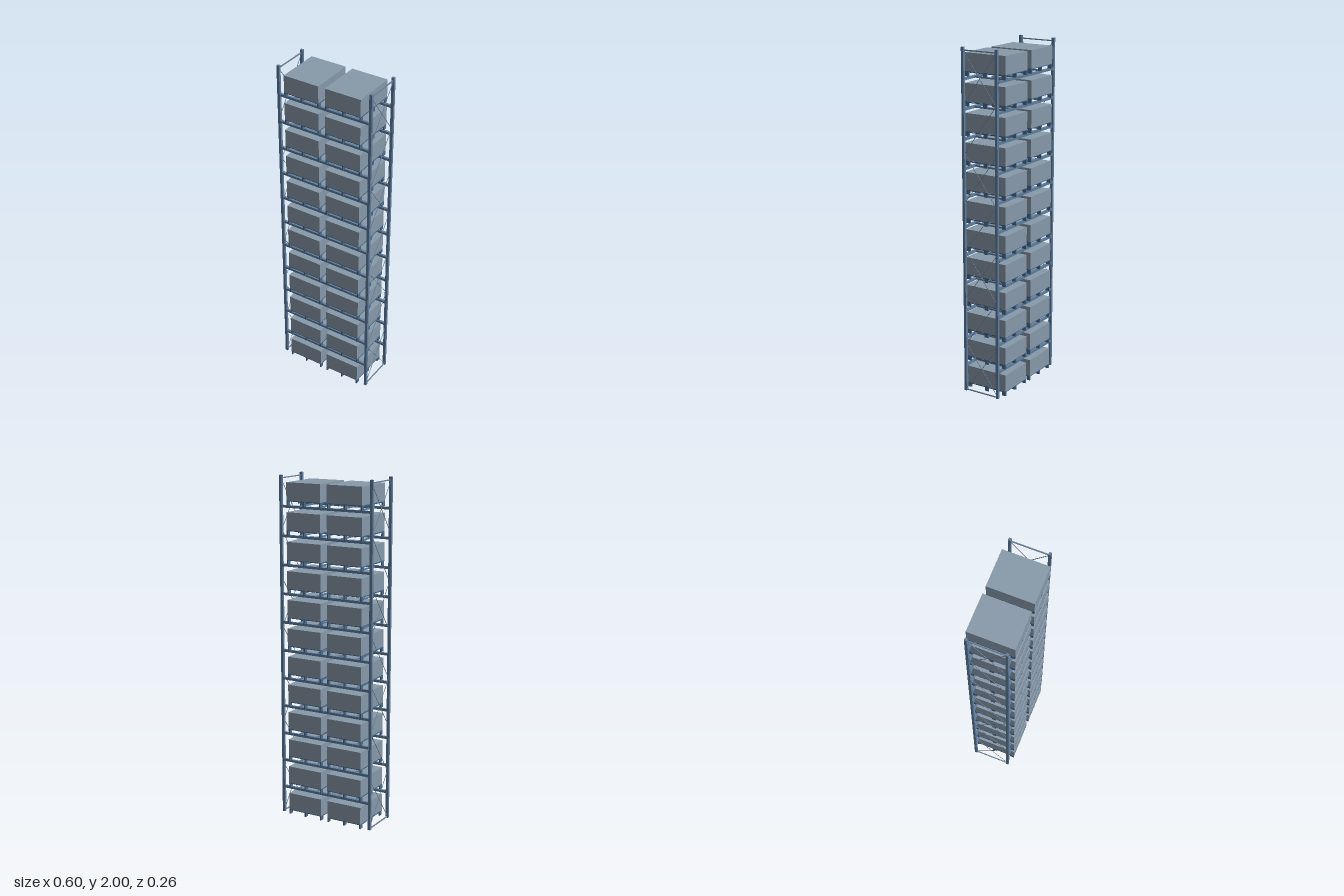
import * as THREE from 'three';

const LEVELS = 12, PITCH = 1 / 6;
const POST_X = 0.29, POST_Z = 0.109;

export function createModel() {
  const rack = new THREE.Group();
  rack.name = 'palletRack';
  const paint = (color) => new THREE.MeshStandardMaterial({ color, flatShading: true });
  const loadMat = paint(0x8799aa);
  const steelMat = paint(0x5f7c9a);
  const braceMat = paint(0x70869c);
  const palletMat = paint(0x4a6a8c);

  // Box given by its size and centre
  function box(parent, name, mat, w, h, d, x, y, z) {
    const mesh = new THREE.Mesh(new THREE.BoxGeometry(w, h, d), mat);
    mesh.name = name;
    mesh.position.set(x, y, z);
    parent.add(mesh);
    return mesh;
  }

  // Thin bar in a side frame, between two (y, z) points
  function brace(parent, name, x, y0, z0, y1, z1, t) {
    const dy = y1 - y0, dz = z1 - z0;
    const bar = box(parent, name, braceMat, t, t, Math.hypot(dy, dz), x, (y0 + y1) / 2, (z0 + z1) / 2);
    bar.rotation.x = -Math.atan2(dy, dz);
  }

  // Side frames: posts, end rails and diagonal bracing
  for (const side of [-1, 1]) {
    const frame = new THREE.Group();
    frame.name = side > 0 ? 'leftFrame' : 'rightFrame';
    rack.add(frame);
    const x = side * POST_X;
    for (const z of [-POST_Z, POST_Z]) box(frame, 'post', steelMat, 0.016, 2, 0.015, x, 1, z);
    for (const y of [0.006, 1.983]) box(frame, 'frameRail', braceMat, 0.006, 0.006, POST_Z * 2, x, y, 0);
    const panels = 7, h = 1.96 / panels, zb = POST_Z - 0.005;
    for (let i = 0; i < panels; i++) {
      const y0 = 0.015 + i * h;
      brace(frame, 'diagonalBrace', x, y0, zb, y0 + h, -zb, 0.0025);
      if (i % 2 === 0) brace(frame, 'crossBrace', x, y0, -zb, y0 + h, zb, 0.0025);
    }
  }

  // Pallet with three rows of feet, a slatted deck and its load
  function palletLoad(x, y) {
    const unit = new THREE.Group();
    unit.name = 'palletLoad';
    unit.position.set(x, y, 0);
    for (const fx of [-0.106, 0, 0.106]) {
      for (const fz of [-0.119, 0, 0.119]) box(unit, 'palletFoot', palletMat, 0.008, 0.021, 0.024, fx, 0.0105, fz);
      box(unit, 'palletStringer', palletMat, 0.008, 0.003, 0.262, fx, 0.0225, 0);
    }
    for (let i = 0; i < 5; i++) {
      box(unit, 'deckBoard', palletMat, 0.22, 0.004, 0.042, 0, 0.026, -0.111 + i * 0.0555);
    }
    box(unit, 'load', loadMat, 0.22, 0.102, 0.264, 0, 0.079, 0);
    return unit;
  }

  for (let i = 0; i < LEVELS; i++) {
    const y = i * PITCH;
    const level = new THREE.Group();
    level.name = 'level' + (i + 1);
    rack.add(level);
    for (const x of [-0.131, 0.131]) level.add(palletLoad(x, y));
    if (i === 0) continue;

    // Long beams with end connectors on the posts
    for (const z of [-POST_Z, POST_Z]) {
      box(level, 'beam', steelMat, POST_X * 2 - 0.016, 0.014, 0.014, 0, y - 0.0075, z);
      for (const s of [-1, 1]) box(level, 'beamConnector', steelMat, 0.007, 0.015, 0.016, s * 0.2785, y - 0.0075, z);
    }
    // Supports across the beams below each pallet
    for (const x of [-0.19, -0.072, 0.072, 0.19]) {
      box(level, 'palletSupport', steelMat, 0.008, 0.009, POST_Z * 2 - 0.014, x, y - 0.0075, 0);
    }
  }
  return rack;
}
